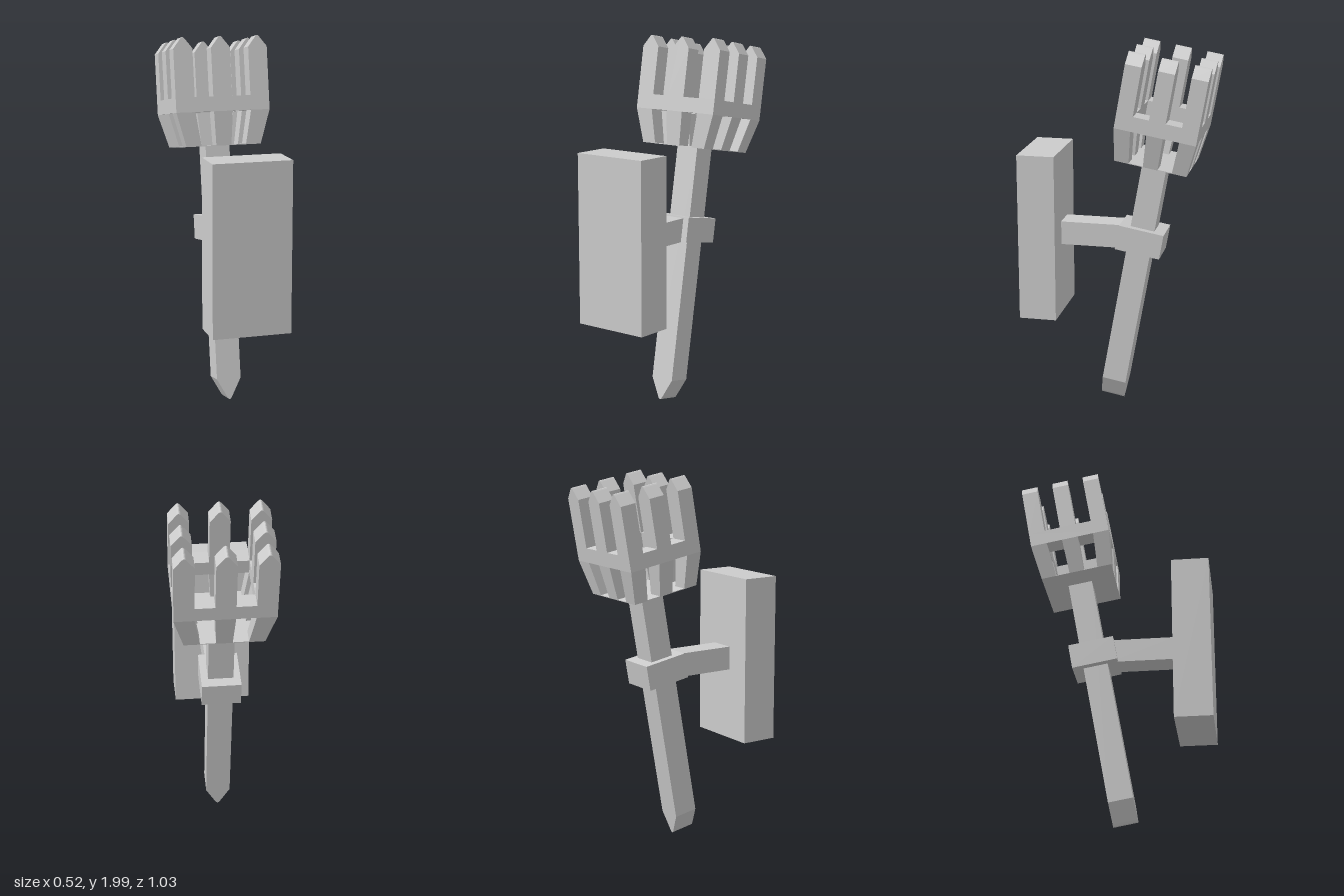
import * as THREE from 'three';

const material = new THREE.MeshStandardMaterial({ color: 0xcccccc });

function add(parent, name, geometry, x = 0, y = 0, z = 0) {
  const mesh = new THREE.Mesh(geometry, material);
  mesh.name = name;
  mesh.position.set(x, y, z);
  parent.add(mesh);
  return mesh;
}

// Square bar standing on y = 0 with a wedge-shaped, slightly blunted top
function peakedBar(width, height, depth, tip) {
  const w = width / 2, r = 0.2;
  const shape = new THREE.Shape();
  shape.moveTo(-w, 0);
  shape.lineTo(w, 0);
  shape.lineTo(w, height - tip);
  shape.lineTo(w * r, height - tip * r * 0.6);
  shape.quadraticCurveTo(0, height + tip * r * 0.6, -w * r, height - tip * r * 0.6);
  shape.lineTo(-w, height - tip);
  shape.closePath();
  return new THREE.ExtrudeGeometry(shape, { depth, bevelEnabled: false, curveSegments: 4 })
    .translate(0, 0, -depth / 2);
}

// Box whose lower end is drawn in towards the basket axis
function taperedBar(x, z, width, depth, height, sx, sz) {
  const geometry = new THREE.BoxGeometry(width, height, depth).translate(x, height / 2, z);
  const p = geometry.attributes.position;
  for (let i = 0; i < p.count; i++) {
    if (p.getY(i) < height / 2) p.setXYZ(i, p.getX(i) * sx, p.getY(i), p.getZ(i) * sz);
  }
  geometry.computeVertexNormals();
  return geometry;
}

function rectangle(Type, hx, hz) {
  return new Type([[-hx, -hz], [hx, -hz], [hx, hz], [-hx, hz]].map(([x, z]) => new THREE.Vector2(x, z)));
}

function createBasket() {
  const basket = new THREE.Group();
  basket.name = 'basket';
  const hx = 0.258, hz = 0.216;       // outer half sizes
  const pw = 0.104, pd = 0.087;       // prong width and depth
  const bandBottom = 0.183, bandTop = 0.262, top = 0.58;
  const sx = 0.8, sz = 0.893;         // taper at the floor

  // Thin floor
  add(basket, 'basketFloor', new THREE.BoxGeometry(hx * 2 * sx, 0.004, hz * 2 * sz), 0, 0.002, 0);

  // Rectangular band
  const ring = rectangle(THREE.Shape, hx, hz);
  ring.holes.push(rectangle(THREE.Path, hx - pw, hz - pd));
  const band = new THREE.ExtrudeGeometry(ring, { depth: bandTop - bandBottom, bevelEnabled: false });
  add(basket, 'basketBand', band.rotateX(-Math.PI / 2), 0, bandBottom, 0);

  // Eight prongs around the rim, each with a tapered support below the band
  for (const i of [-1, 0, 1]) {
    for (const k of [-1, 0, 1]) {
      if (i === 0 && k === 0) continue;
      const x = i * (hx - pw / 2), z = k * (hz - pd / 2);
      add(basket, 'prong', peakedBar(pw, top - bandTop, pd, 0.06), x, bandTop, z);
      add(basket, 'prongSupport', taperedBar(x, z, pw, pd, bandBottom, sx, sz));
    }
  }
  return basket;
}

export function createModel() {
  const model = new THREE.Group();
  model.name = 'wallTorch';

  // Wall mount
  add(model, 'wallPlate', new THREE.BoxGeometry(0.422, 0.91, 0.202), 0, 0.97, 0.414);
  add(model, 'bracketArm', new THREE.BoxGeometry(0.138, 0.128, 0.345), 0, 0.969, 0.1425);

  // Torch leaning away from the wall
  const torch = new THREE.Group();
  torch.name = 'torch';
  torch.position.set(0, 0.0175, 0.0425);
  torch.rotation.x = -THREE.MathUtils.degToRad(10);
  model.add(torch);

  const length = 1.393;
  const pole = add(torch, 'pole', peakedBar(0.135, length, 0.131, 0.115), 0, length, 0);
  pole.rotation.z = Math.PI;
  add(torch, 'holderCollar', new THREE.BoxGeometry(0.21, 0.135, 0.245), 0, 0.95, 0);

  const basket = createBasket();
  basket.position.y = length;
  torch.add(basket);

  return model;
}
